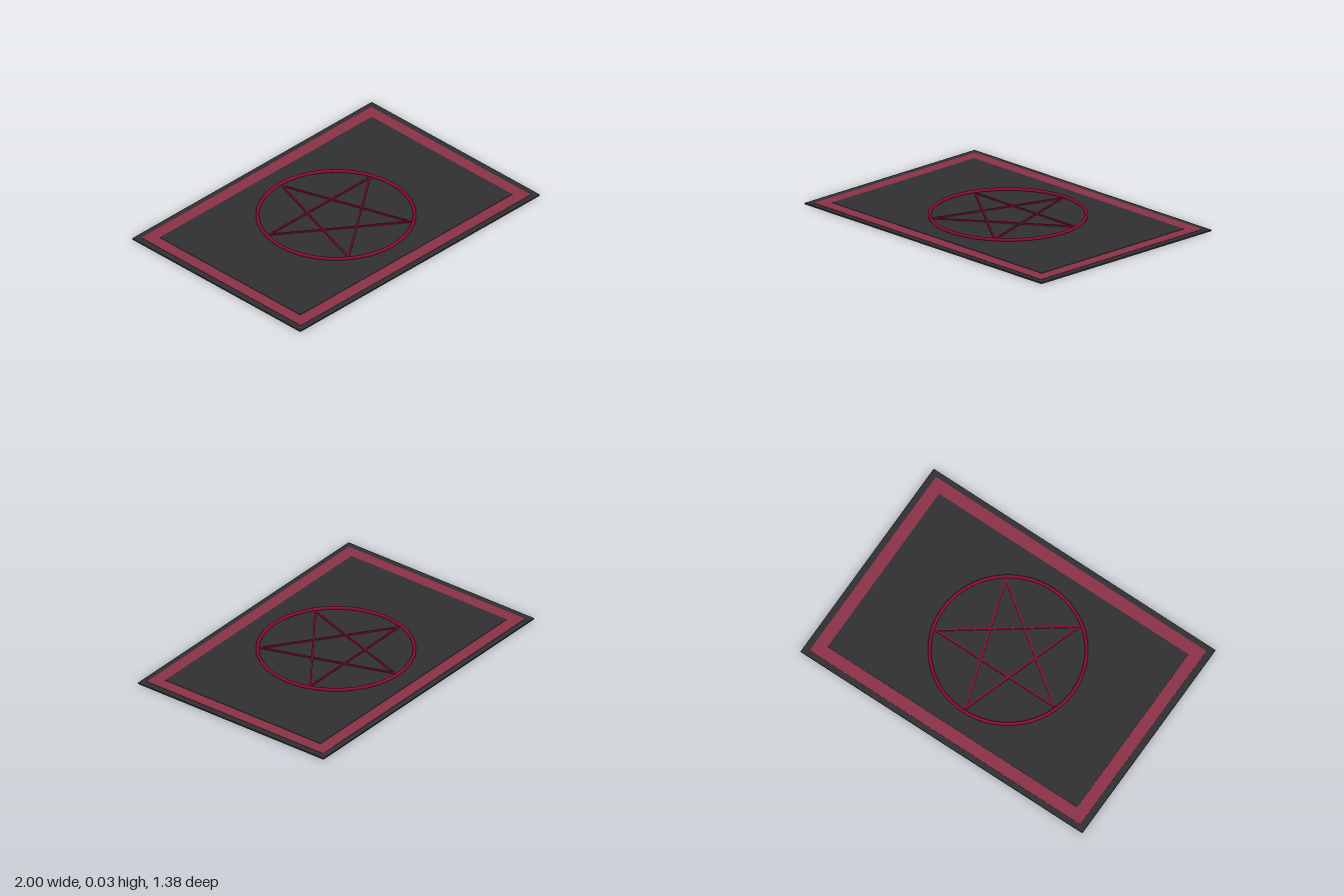
import * as THREE from 'three';

const CHARCOAL = 0x2f2f32, ROSE = 0x8a3248, CRIMSON = 0x8b0a2e;

export function createModel() {
  const model = new THREE.Group();
  model.name = 'rug';

  const add = (parent, name, geometry, color) => {
    const mesh = new THREE.Mesh(geometry, new THREE.MeshStandardMaterial({ color }));
    mesh.name = name;
    parent.add(mesh);
    return mesh;
  };

  // Stacked rug layers: [name, width, depth, bottom, top, colour]
  const layers = [
    ['base', 2, 1.38, 0, 0.009, CHARCOAL],
    ['border', 1.92, 1.31, 0.001, 0.011, ROSE],
    ['centreField', 1.77, 1.155, 0.002, 0.0135, CHARCOAL],
  ];
  for (const [name, w, d, y0, y1, color] of layers) {
    add(model, name, new THREE.BoxGeometry(w, y1 - y0, d), color).position.y = (y0 + y1) / 2;
  }

  // Raised ring
  const ring = add(model, 'ring', new THREE.TorusGeometry(0.46, 0.01, 12, 96), CRIMSON);
  ring.rotation.x = -Math.PI / 2;
  ring.position.y = 0.02;

  // Five-pointed star: strips joining every second point
  const star = new THREE.Group();
  star.name = 'star';
  model.add(star);
  const radius = 0.442;
  const point = (i) => {
    const a = (i * Math.PI * 2) / 5;
    return new THREE.Vector3(radius * Math.sin(a), 0.0165, -radius * Math.cos(a));
  };
  for (let i = 0; i < 5; i++) {
    const a = point(i), b = point(i + 2);
    const strip = add(star, 'starStrip', new THREE.BoxGeometry(0.01, 0.009, a.distanceTo(b)), CRIMSON);
    strip.position.lerpVectors(a, b, 0.5);
    strip.rotation.y = Math.atan2(b.x - a.x, b.z - a.z);
  }

  return model;
}
